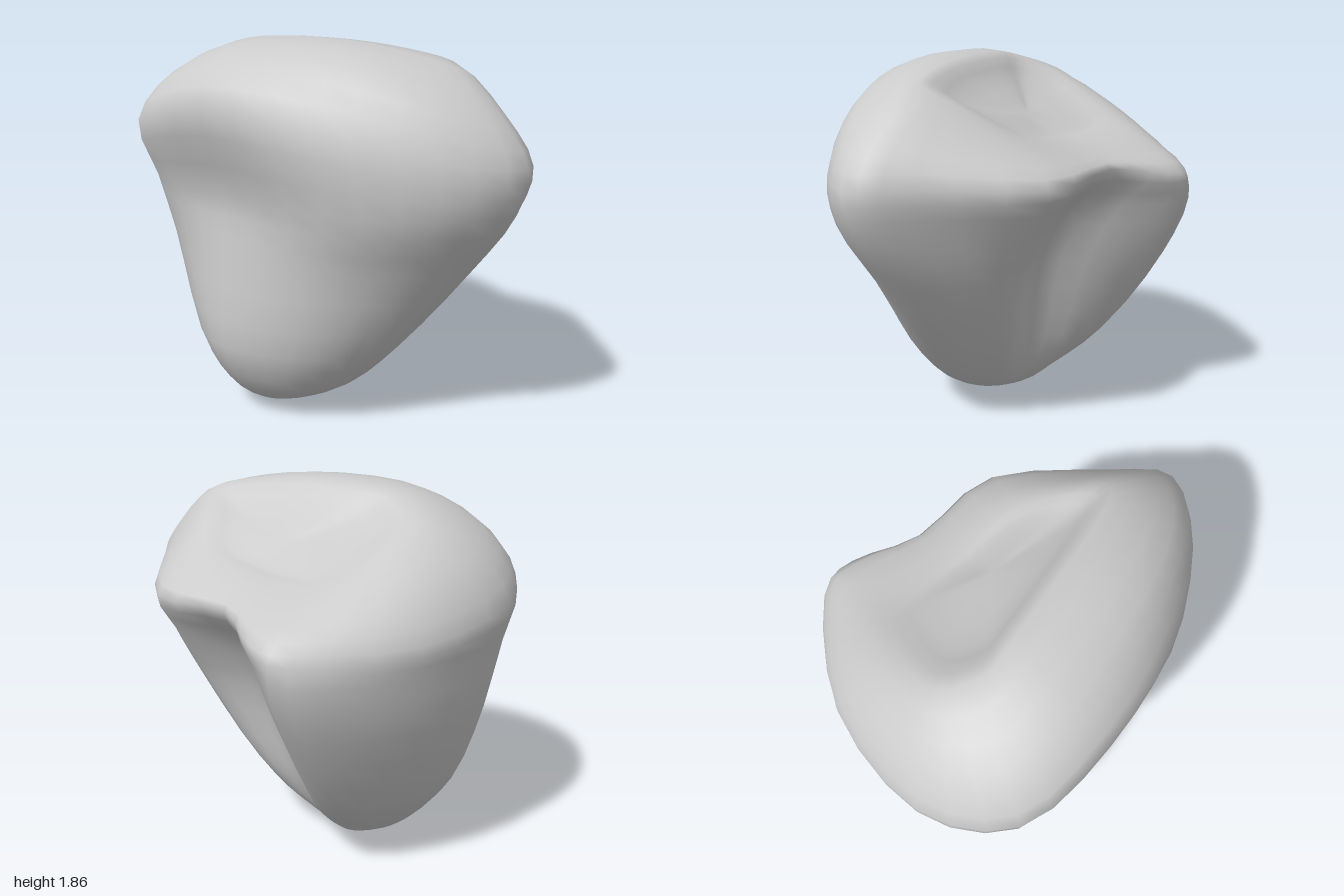
import * as THREE from 'three';
import { mergeVertices } from 'three/addons/utils/BufferGeometryUtils.js';

const AROUND = 36, ALONG = 30;

// A level cross-section from [x, z] corners, starting at the right lobe and running
// past the front, left side, back lobe and rear valley.
const level = (y, corners) => corners.map(([x, z]) => new THREE.Vector3(x, y, z));
// A cross-section whose corners sit at different heights.
const uneven = (corners) => corners.map((c) => new THREE.Vector3(...c));

// Smooth closed loop through a section; every loop keeps matching corners.
function loop(section) {
  const curve = new THREE.CatmullRomCurve3(section, true, 'catmullrom', 0.5);
  return Array.from({ length: AROUND }, (_, i) => curve.getPoint(i / AROUND));
}

function boulderGeometry() {
  const foot = new THREE.Vector3(-0.28, 0, 0.29);
  const dish = new THREE.Vector3(0.02, 1.58, -0.09);

  // narrow foot
  const base = level(0.05, [[-0.1, 0.25], [-0.14, 0.35], [-0.22, 0.41], [-0.33, 0.42], [-0.42, 0.36], [-0.45, 0.26],
    [-0.41, 0.15], [-0.32, 0.07], [-0.26, 0.07], [-0.2, 0.1], [-0.15, 0.14], [-0.11, 0.19]]);
  const ankle = level(0.16, [[0.12, 0.25], [0.06, 0.4], [-0.1, 0.52], [-0.33, 0.55], [-0.5, 0.45], [-0.58, 0.25],
    [-0.52, 0.07], [-0.35, -0.07], [-0.22, -0.06], [-0.11, 0.01], [0.01, 0.06], [0.08, 0.14]]);
  // widening body with the rear valley and the front hollow
  const low = level(0.4, [[0.37, 0.25], [0.25, 0.47], [0, 0.62], [-0.35, 0.665], [-0.6, 0.52], [-0.76, 0.25],
    [-0.68, -0.05], [-0.42, -0.34], [-0.22, -0.26], [-0.05, -0.08], [0.17, -0.07], [0.29, 0.07]]);
  const middle = level(0.85, [[0.74, 0.25], [0.52, 0.5], [0.15, 0.655], [-0.35, 0.64], [-0.72, 0.5], [-0.92, 0.2],
    [-0.78, -0.27], [-0.42, -0.65], [-0.15, -0.46], [0.05, -0.18], [0.39, -0.21], [0.6, 0]]);
  const high = level(1.15, [[0.95, 0.28], [0.7, 0.56], [0.24, 0.715], [-0.35, 0.62], [-0.78, 0.55], [-0.97, 0.2],
    [-0.82, -0.34], [-0.42, -0.77], [-0.16, -0.63], [0.08, -0.34], [0.47, -0.36], [0.78, 0.02]]);
  // widest rim, with the brow raised at the front
  const rim = uneven([[1, 1.36, 0.3], [0.72, 1.4, 0.57], [0.2, 1.52, 0.745], [-0.35, 1.58, 0.77],
    [-0.82, 1.46, 0.64], [-1, 1.37, 0.22], [-0.83, 1.3, -0.36], [-0.42, 1.3, -0.74],
    [-0.21, 1.31, -0.74], [0.06, 1.36, -0.54], [0.52, 1.34, -0.44], [0.86, 1.36, 0.04]]);
  // shoulder and crest
  const shoulder = uneven([[0.86, 1.57, 0.28], [0.62, 1.68, 0.47], [0.2, 1.79, 0.55], [-0.35, 1.79, 0.57],
    [-0.72, 1.68, 0.48], [-0.86, 1.6, 0.16], [-0.74, 1.51, -0.26], [-0.44, 1.42, -0.57],
    [-0.24, 1.42, -0.56], [0.06, 1.43, -0.44], [0.45, 1.46, -0.33], [0.74, 1.56, 0.04]]);
  const crest = uneven([[0.58, 1.77, 0.16], [0.38, 1.82, 0.21], [0.1, 1.845, 0.22], [-0.25, 1.845, 0.22],
    [-0.46, 1.81, 0.2], [-0.6, 1.74, 0.05], [-0.56, 1.64, -0.15], [-0.42, 1.52, -0.36],
    [-0.22, 1.48, -0.37], [0.06, 1.48, -0.3], [0.37, 1.54, -0.21], [0.54, 1.68, 0]]);
  // sloping dish inside the crest
  const inner = crest.map((p) => p.clone().lerp(dish, 0.35).add(new THREE.Vector3(0, -0.02, 0)));

  const loops = [base, ankle, low, middle, high, rim, shoulder, crest, inner].map(loop);

  // skin the loops with smooth curves running from foot to dish
  const positions = [], index = [];
  for (let i = 0; i < AROUND; i++) {
    const rib = new THREE.CatmullRomCurve3([foot, ...loops.map((l) => l[i]), dish]);
    for (let j = 0; j <= ALONG; j++) positions.push(...rib.getPoint(j / ALONG).toArray());
  }
  for (let i = 0; i < AROUND; i++) {
    for (let j = 0; j < ALONG; j++) {
      const a = i * (ALONG + 1) + j, b = ((i + 1) % AROUND) * (ALONG + 1) + j;
      if (j < ALONG - 1) index.push(a, a + 1, b + 1);
      if (j > 0) index.push(a, b + 1, b);
    }
  }
  const geometry = new THREE.BufferGeometry();
  geometry.setAttribute('position', new THREE.Float32BufferAttribute(positions, 3));
  geometry.setIndex(index);
  const merged = mergeVertices(geometry, 1e-4);
  merged.computeVertexNormals();
  return merged;
}

export function createModel() {
  const group = new THREE.Group();
  group.name = 'rock';
  const boulder = new THREE.Mesh(boulderGeometry(), new THREE.MeshStandardMaterial({ color: 0xcccccc }));
  boulder.name = 'boulder';
  group.add(boulder);
  return group;
}
